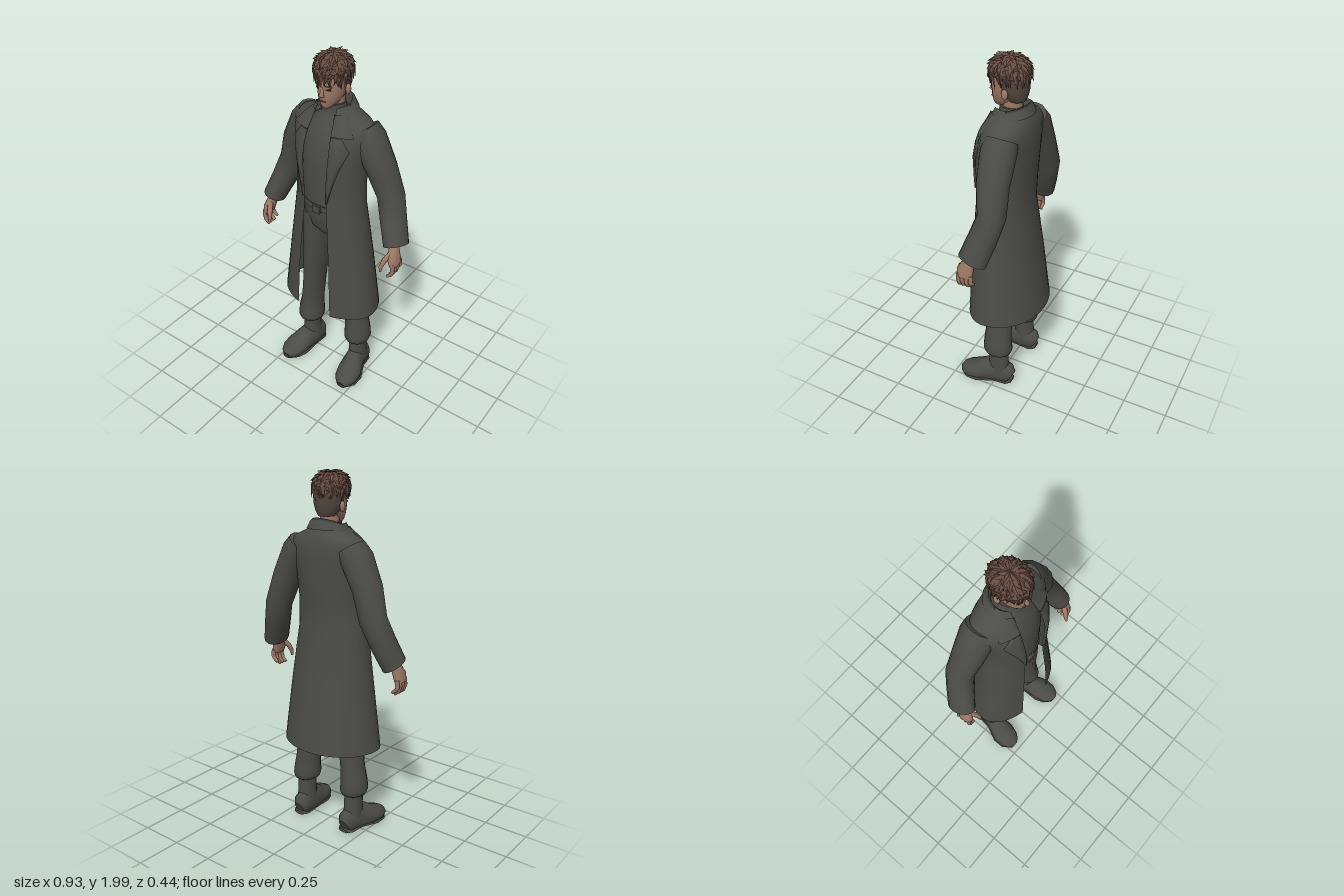
import * as THREE from 'three';
import { mergeGeometries } from 'three/addons/utils/BufferGeometryUtils.js';

const V = (x, y, z) => new THREE.Vector3(x, y, z);
const material = (name, color) => {
  const m = new THREE.MeshStandardMaterial({ color });
  m.name = name;
  return m;
};

// Skin a grid of points; optionally closed around and capped at both ends
function grid(rows, closed = false, caps = false) {
  const n = rows[0].length, pos = [], idx = [];
  rows.forEach(r => r.forEach(p => pos.push(p.x, p.y, p.z)));
  for (let i = 0; i < rows.length - 1; i++)
    for (let j = 0; j < (closed ? n : n - 1); j++) {
      const a = i * n + j, b = i * n + (j + 1) % n;
      idx.push(a, b, a + n, b, b + n, a + n);
    }
  if (caps) [0, rows.length - 1].forEach(i => {
    const base = pos.length / 3, c = V(0, 0, 0);
    rows[i].forEach(p => { c.addScaledVector(p, 1 / n); pos.push(p.x, p.y, p.z); });
    pos.push(c.x, c.y, c.z);
    for (let j = 0; j < n; j++) {
      const k = base + (j + 1) % n;
      i ? idx.push(base + n, base + j, k) : idx.push(base + n, k, base + j);
    }
  });
  const g = new THREE.BufferGeometry();
  g.setAttribute('position', new THREE.Float32BufferAttribute(pos, 3));
  g.setIndex(idx);
  g.computeVertexNormals();
  return g;
}

// Elliptical sections [x, y, z, ru, rv] along a path; "level" keeps them horizontal
function limb(sections, { n = 14, ref = V(0, 0, 1), level = false, floor = -1 } = {}) {
  const at = i => V(...sections[Math.max(0, Math.min(sections.length - 1, i))]);
  return grid(sections.map(([x, y, z, ru, rv], i) => {
    const t = level ? V(0, Math.sign(at(1).y - at(0).y), 0) : at(i + 1).sub(at(i - 1)).normalize();
    const u = t.clone().cross(ref).normalize(), v = t.clone().cross(u);
    return Array.from({ length: n }, (_, j) => {
      const a = j / n * Math.PI * 2;
      const p = V(x, y, z).addScaledVector(u, ru * Math.cos(a)).addScaledVector(v, rv * Math.sin(a));
      p.y = Math.max(p.y, floor);
      return p;
    });
  }), true, true);
}

// Coat levels: y, half width, front edge z, back z, opening half width, centre z
const COAT = [
  [0.50, 0.295, 0.195, -0.217, 0.11, 0.03], [0.85, 0.25, 0.183, -0.172, 0.095, 0.02],
  [1.18, 0.205, 0.165, -0.125, 0.07, 0.02], [1.32, 0.195, 0.165, -0.132, 0.073, 0.01],
  [1.45, 0.203, 0.163, -0.14, 0.082, 0], [1.55, 0.222, 0.142, -0.142, 0.08, -0.01],
  [1.62, 0.238, 0.115, -0.138, 0.072, -0.02], [1.655, 0.2, 0.092, -0.13, 0.068, -0.025],
  [1.69, 0.125, 0.075, -0.118, 0.062, -0.025], [1.73, 0.085, 0.055, -0.1, 0.055, -0.025]];

function coatAt(y) {
  const i = Math.max(1, COAT.findIndex(l => l[0] >= y)), a = COAT[i - 1], b = COAT[i];
  const k = (y - a[0]) / (b[0] - a[0]);
  const [, rx, zf, zb, xe, zc] = a.map((v, j) => v + (b[j] - v) * k);
  const e = Math.asin(xe / rx);
  return { rx, xe, zc, e, df: (zf - zc) / Math.cos(e), db: zc - zb };
}

function coatRow(y) {
  const { rx, zc, e, df, db } = coatAt(y);
  return Array.from({ length: 29 }, (_, j) => {
    const a = e + (2 * Math.PI - 2 * e) * j / 28, c = Math.cos(a);
    return V(rx * Math.sin(a), y, zc + c * (c > 0 ? df : db));
  });
}

// Folded flap lying on the coat front; rows are [y, outer x]
const flap = (rows, s) => grid(rows.map(([y, xo]) => {
  const { rx, xe, zc, df } = coatAt(y);
  return [[0, -0.005], [0, 0.012], [0.35, 0.012], [0.7, 0.012], [1, 0.012], [1, -0.005]].map(([k, lift]) => {
    const x = xe + (xo - xe) * k;
    return V(s * x, y, zc + df * Math.sqrt(Math.max(0, 1 - (x / rx) ** 2)) + lift);
  });
}));

// Pointed locks of hair radiating from the crown
function hairLocks() {
  let seed = 7;
  const rnd = () => (seed = (seed * 16807) % 2147483647) / 2147483647;
  const point = (p, a, k) => V(0.086 * k * Math.sin(p) * Math.sin(a), 1.91 + 0.076 * k * Math.cos(p),
    0.002 + 0.1 * k * Math.sin(p) * Math.cos(a));
  const locks = [];
  [[0.3, 7], [0.6, 13], [0.9, 18], [1.2, 22], [1.5, 24], [1.7, 24]].forEach(([p, count], ring) => {
    for (let j = 0; j < count; j++) {
      const a = (j + rnd() * 0.7 + ring * 0.5) / count * Math.PI * 2;
      const root = point(p - 0.35, a, 0.97), mid = point(p, a + 0.05, 1.07);
      const tip = point(p + 0.3 + rnd() * 0.2, a + (rnd() - 0.5) * 0.4, 1.12 + rnd() * 0.1);
      tip.y -= ring > 3 ? 0.02 * rnd() + 0.006 : -0.008;
      const normal = mid.clone().sub(V(0, 1.91, 0)).normalize();
      const g = limb([[...root, 0.012, 0.004], [...mid, 0.016, 0.007], [...tip, 0.001, 0.001]], { n: 4, ref: normal });
      const flat = g.toNonIndexed();
      flat.computeVertexNormals();
      locks.push(flat);
    }
  });
  return mergeGeometries(locks);
}

export function createModel() {
  const cloth = material('dark grey cloth', 0x4b4c47);
  cloth.side = THREE.DoubleSide;
  const skin = material('skin', 0xa07a66);
  const hair = material('brown hair', 0x664c41);
  const fade = material('cropped hair', 0x544840);
  const dark = material('dark eyes', 0x2c2421);
  const lips = material('lips', 0x85594d);
  const model = new THREE.Group();
  model.name = 'manInLongCoat';
  const add = (name, geometry, mat) => {
    const m = new THREE.Mesh(geometry, mat);
    m.name = name;
    model.add(m);
    return m;
  };
  const box = (name, size, at, mat, turn = 0) => {
    const m = add(name, new THREE.BoxGeometry(...size), mat);
    m.position.set(...at);
    m.rotation.y = turn;
  };

  // Long coat with turned-down collar
  add('coat', grid(COAT.map(l => coatRow(l[0]))), cloth);
  const collarRow = (rx, rz, y, drop) => Array.from({ length: 25 }, (_, j) => {
    const a = 0.75 + (2 * Math.PI - 1.5) * j / 24;
    return V(rx * Math.sin(a), y - drop * Math.cos(a), -0.02 + rz * Math.cos(a));
  });
  add('collar', grid([collarRow(0.118, 0.108, 1.695, 0.01), collarRow(0.098, 0.094, 1.722, 0.025),
    collarRow(0.08, 0.082, 1.732, 0.03), collarRow(0.07, 0.072, 1.68, 0.01)]), cloth);

  // Sweater, trousers top and belt
  add('sweater', limb([[0, 1.15, 0.015, 0.17, 0.125], [0, 1.4, 0.01, 0.17, 0.135], [0, 1.55, 0, 0.165, 0.125],
    [0, 1.63, -0.01, 0.13, 0.095], [0, 1.675, -0.01, 0.075, 0.07], [0, 1.7, -0.008, 0.062, 0.064],
    [0, 1.735, -0.005, 0.058, 0.06]], { n: 24, level: true }), cloth);
  add('hips', limb([[0, 0.975, 0.01, 0.06, 0.08], [0, 1.02, 0.01, 0.14, 0.11], [0, 1.1, 0.013, 0.17, 0.122],
    [0, 1.19, 0.015, 0.168, 0.124]], { n: 24, level: true }), cloth);
  add('belt', limb([[0, 1.155, 0.015, 0.175, 0.132], [0, 1.188, 0.015, 0.175, 0.132]], { n: 24, level: true }), cloth);
  box('buckle', [0.045, 0.042, 0.016], [-0.005, 1.165, 0.148], cloth);

  // Head
  add('neck', limb([[0, 1.67, -0.012, 0.05, 0.05], [0, 1.8, -0.012, 0.05, 0.055]], { level: true }), skin);
  add('head', limb([[0, 1.726, 0.058, 0.02, 0.024], [0, 1.742, 0.038, 0.04, 0.052], [0, 1.77, 0.02, 0.057, 0.075],
    [0, 1.8, 0.012, 0.066, 0.085], [0, 1.84, 0.006, 0.072, 0.092], [0, 1.88, 0, 0.075, 0.096],
    [0, 1.925, -0.003, 0.07, 0.088], [0, 1.955, -0.005, 0.048, 0.062], [0, 1.968, -0.005, 0.02, 0.025]],
    { n: 22, level: true }), skin);
  add('nose', limb([[0, 1.842, 0.093, 0.006, 0.006], [0, 1.815, 0.1, 0.009, 0.009], [0, 1.8, 0.104, 0.014, 0.012],
    [0, 1.791, 0.098, 0.01, 0.01]], { n: 8, level: true }), skin);
  box('mouth', [0.034, 0.006, 0.008], [0, 1.768, 0.094], lips);
  add('croppedHair', limb([[0, 1.765, -0.03, 0.045, 0.052], [0, 1.79, -0.022, 0.064, 0.07], [0, 1.83, -0.018, 0.077, 0.082],
    [0, 1.89, -0.012, 0.083, 0.09]], { n: 20, level: true }), fade);
  const cap = add('hairCap', new THREE.SphereGeometry(1, 20, 8, 0, Math.PI * 2, 0, Math.PI * 0.6), hair);
  cap.scale.set(0.086, 0.074, 0.1);
  cap.position.set(0, 1.91, 0.002);
  add('hairLocks', hairLocks(), hair);

  for (const s of [1, -1]) {
    const side = s > 0 ? 'left' : 'right';
    const path = (name, sections, mat, opts) =>
      add(side + name, limb(sections.map(([x, ...rest]) => [s * x, ...rest]), opts), mat);

    // Face details
    box(side + 'Eye', [0.024, 0.008, 0.008], [s * 0.03, 1.831, 0.087], dark, s * 0.35);
    box(side + 'Brow', [0.034, 0.007, 0.009], [s * 0.031, 1.848, 0.088], hair, s * 0.35);
    const ear = add(side + 'Ear', new THREE.SphereGeometry(1, 10, 8), skin);
    ear.scale.set(0.012, 0.028, 0.018);
    ear.position.set(s * 0.08, 1.815, -0.008);

    // Notched lapels
    add(side + 'CollarFlap', flap([[1.705, 0.095], [1.66, 0.14], [1.612, 0.175]], s), cloth);
    add(side + 'Lapel', flap([[1.61, 0.118], [1.575, 0.142], [1.54, 0.165], [1.45, 0.132], [1.35, 0.102], [1.24, 0.076]], s), cloth);

    // Sleeve
    path('Sleeve', [[0.16, 1.615, -0.035, 0.075, 0.085], [0.195, 1.565, -0.035, 0.085, 0.095],
      [0.268, 1.42, -0.042, 0.079, 0.086], [0.318, 1.27, -0.06, 0.074, 0.075], [0.36, 1.15, -0.028, 0.068, 0.078],
      [0.407, 1.03, 0.01, 0.06, 0.08]], cloth);

    // Hand with curled fingers
    path('Palm', [[0.398, 1.06, 0.015, 0.026, 0.032], [0.408, 1.01, 0.03, 0.026, 0.036], [0.42, 0.965, 0.045, 0.028, 0.048],
      [0.428, 0.93, 0.045, 0.02, 0.044]], skin, { n: 12 });
    for (let f = 0; f < 4; f++) {
      const z = 0.078 - f * 0.024, lift = f === 3 ? 0.015 : 0;
      path('Finger' + (f + 1), [[0.428, 0.95, z, 0.013, 0.013], [0.434, 0.91, z, 0.012, 0.012],
        [0.424, 0.88 + lift, z, 0.011, 0.011], [0.402, 0.862 + lift, z, 0.008, 0.009]], skin, { n: 8 });
    }
    path('Thumb', [[0.405, 1.0, 0.055, 0.015, 0.018], [0.386, 0.965, 0.088, 0.014, 0.015],
      [0.376, 0.93, 0.103, 0.011, 0.012], [0.376, 0.9, 0.107, 0.006, 0.007]], skin, { n: 8 });

    // Trouser leg gathered over the boot
    path('TrouserLeg', [[0.085, 1.09, 0.01, 0.08, 0.108], [0.1, 0.9, 0.008, 0.076, 0.1], [0.128, 0.65, 0, 0.064, 0.086],
      [0.146, 0.5, -0.006, 0.061, 0.082], [0.16, 0.38, -0.007, 0.065, 0.077], [0.169, 0.3, -0.006, 0.073, 0.084],
      [0.17, 0.255, -0.006, 0.077, 0.088], [0.17, 0.228, -0.008, 0.07, 0.08], [0.17, 0.218, -0.01, 0.054, 0.062]],
      cloth, { level: true });

    // Boot
    path('BootShaft', [[0.17, 0.25, -0.01, 0.05, 0.058], [0.17, 0.15, -0.01, 0.05, 0.06], [0.168, 0.05, -0.015, 0.052, 0.07]],
      cloth, { level: true });
    path('BootFoot', [[0.165, 0.045, -0.095, 0.03, 0.04], [0.165, 0.055, -0.075, 0.05, 0.07], [0.168, 0.06, -0.01, 0.053, 0.1],
      [0.18, 0.055, 0.05, 0.06, 0.085], [0.195, 0.045, 0.11, 0.073, 0.055], [0.203, 0.035, 0.165, 0.066, 0.045],
      [0.205, 0.028, 0.2, 0.046, 0.034], [0.205, 0.022, 0.214, 0.025, 0.02]], cloth, { n: 16, ref: V(0, 1, 0), floor: 0 });
    path('Sole', [[0.165, 0.01, -0.096, 0.032, 0.01], [0.165, 0.011, -0.07, 0.053, 0.012], [0.172, 0.011, 0.01, 0.054, 0.012],
      [0.195, 0.011, 0.11, 0.077, 0.012], [0.204, 0.011, 0.17, 0.066, 0.012], [0.205, 0.01, 0.216, 0.025, 0.01]],
      cloth, { n: 8, ref: V(0, 1, 0), floor: 0 });
  }
  return model;
}
